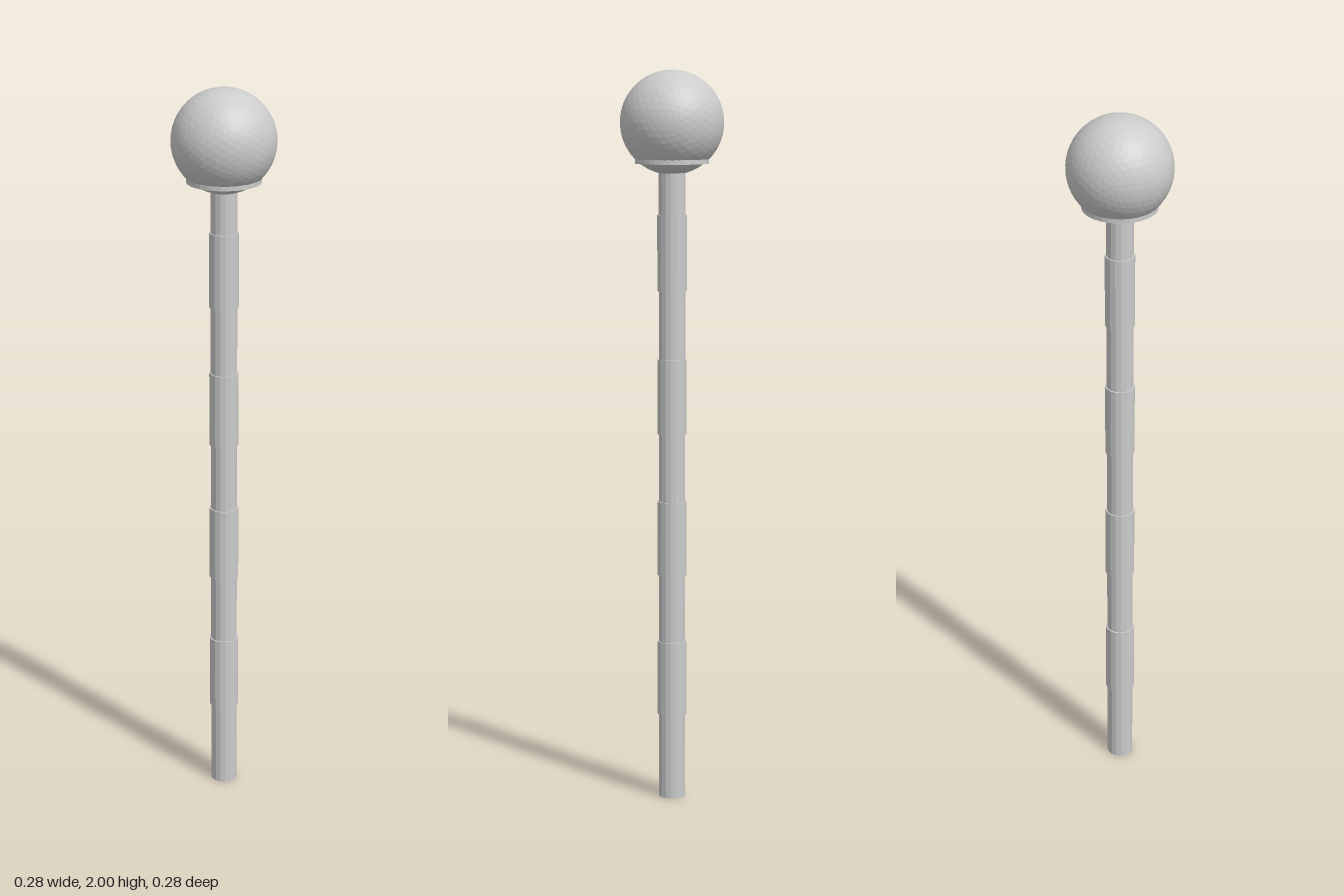
import * as THREE from 'three';

export function createModel() {
  const model = new THREE.Group();
  const material = new THREE.MeshStandardMaterial({ color: 0xcccccc, flatShading: true });

  function add(name, geometry, y) {
    const mesh = new THREE.Mesh(geometry, material);
    mesh.name = name;
    mesh.position.y = y;
    model.add(mesh);
  }

  // Long straight shaft, ending inside the ball
  const shaftHeight = 1.75;
  add('shaft', new THREE.CylinderGeometry(0.036, 0.036, shaftHeight, 16), shaftHeight / 2);

  // Four evenly spaced grip sleeves, slightly wider than the shaft
  for (let i = 0; i < 4; i++) {
    add('sleeve' + (i + 1), new THREE.CylinderGeometry(0.04, 0.04, 0.205, 16), 0.337 + i * 0.391);
  }

  // Thin collar around the lower part of the ball
  add('collar', new THREE.CylinderGeometry(0.1, 0.1, 0.02, 32), 1.76);

  // Faceted ball on top
  add('ball', new THREE.IcosahedronGeometry(0.14, 7), 1.86);

  return model;
}
